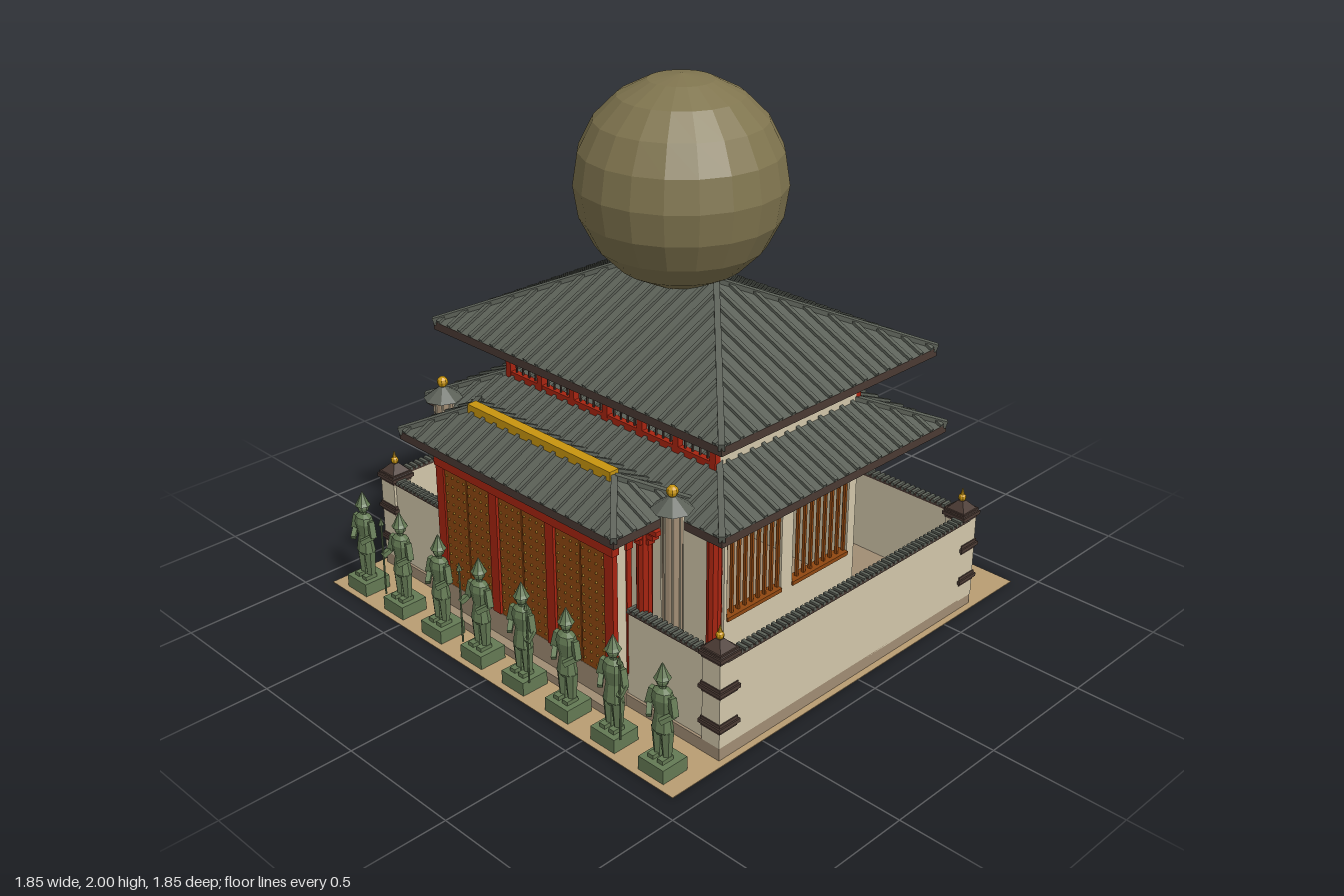
import * as THREE from 'three';
import { mergeGeometries } from 'three/addons/utils/BufferGeometryUtils.js';
import { ConvexGeometry } from 'three/addons/geometries/ConvexGeometry.js';

const mat = (name, color) => Object.assign(new THREE.MeshStandardMaterial({ color }), { name });
const M = {
  ground: mat('sand', 0xb99d72), stone: mat('stone', 0xa18d74), cream: mat('plaster', 0xd2c7aa),
  roof: mat('roof tile', 0x5c6158), dark: mat('dark wood', 0x4a3a33), red: mat('red lacquer', 0xa82410),
  door: mat('door wood', 0x8f4710), gold: mat('gold', 0xc8950f), green: mat('bronze green', 0x647a54),
  olive: mat('olive', 0x80754f),
};
const V = (x, y, z) => new THREE.Vector3(x, y, z);

// Faceted normals for low-poly round parts
function flat(g) {
  const f = g.index ? g.toNonIndexed() : g;
  f.computeVertexNormals();
  return f;
}
function add(parent, name, material, geo, x = 0, y = 0, z = 0) {
  const m = new THREE.Mesh(geo, material);
  m.name = name;
  m.position.set(x, y, z);
  parent.add(m);
  return m;
}
function group(parent, name, x = 0, y = 0, z = 0) {
  const g = new THREE.Group();
  g.name = name;
  g.position.set(x, y, z);
  parent.add(g);
  return g;
}
// Box given by its limits on each axis
function block(parent, name, material, [x0, x1], [y0, y1], [z0, z1]) {
  return add(parent, name, material, new THREE.BoxGeometry(x1 - x0, y1 - y0, z1 - z0),
    (x0 + x1) / 2, (y0 + y1) / 2, (z0 + z1) / 2);
}
const boxAt = (w, h, d, x, y, z) => new THREE.BoxGeometry(w, h, d).translate(x, y, z);
const cyl = (rt, rb, h, n) => flat(new THREE.CylinderGeometry(rt, rb, h, n));
// Square bar running from a to b
function bar(a, b, w, h) {
  const o = new THREE.Object3D();
  o.position.copy(a).lerp(b, 0.5);
  o.lookAt(b);
  o.updateMatrix();
  return new THREE.BoxGeometry(w, h, a.distanceTo(b)).applyMatrix4(o.matrix);
}

// Hipped roof: half width w, half depth d, half ridge length r
function hipRoof(parent, name, w, d, r, y0, y1, z, step) {
  const g = group(parent, name, 0, 0, z);
  const pts = [V(-r, y1, 0), V(r, y1, 0)];
  for (const sx of [-1, 1]) for (const sz of [-1, 1]) pts.push(V(sx * w, y0, sz * d));
  add(g, name + 'Slopes', M.roof, new ConvexGeometry(pts));
  block(g, name + 'Eave', M.dark, [-w, w], [y0 - 0.032, y0 - 0.001], [-d, d]);
  block(g, name + 'Soffit', M.roof, [-w + 0.02, w - 0.02], [y0 - 0.036, y0 - 0.03], [-d + 0.02, d - 0.02]);
  const ribs = [];
  const nx = Math.round(w / step), nz = Math.round(d / step);
  for (const s of [-1, 1]) {
    for (let i = -nx + 0.5; i < nx; i++) {
      const x = i * w / nx, t = Math.min(1, (w - Math.abs(x)) / (w - r));
      ribs.push(bar(V(x, y0, s * d), V(x, y0 + t * (y1 - y0), s * d * (1 - t)), 0.016, 0.022));
    }
    for (let i = -nz + 0.5; i < nz; i++) {
      const zz = i * d / nz, t = 1 - Math.abs(zz) / d;
      ribs.push(bar(V(s * w, y0, zz), V(s * (w - t * (w - r)), y0 + t * (y1 - y0), zz), 0.016, 0.022));
    }
    for (const q of [-1, 1]) ribs.push(bar(V(s * w, y0, q * d), V(s * r, y1, 0), 0.022, 0.028));
  }
  ribs.push(bar(V(-r, y1, 0), V(r, y1, 0), 0.025, 0.03));
  add(g, name + 'Ribs', M.roof, mergeGeometries(ribs));
}

function redColumn(parent, x, z, y0, y1) {
  const g = group(parent, 'redColumn', x, 0, z);
  add(g, 'shaft', M.red, cyl(0.028, 0.028, y1 - y0, 10), 0, (y0 + y1) / 2, 0);
  for (let i = 0; i < 3; i++) {
    const s = 0.07 + i * 0.035;
    add(g, 'bracket', M.red, mergeGeometries([boxAt(s, 0.018, 0.03, 0, 0, 0), boxAt(0.03, 0.018, s, 0, 0, 0)]), 0, y1 - 0.045 + i * 0.022, 0);
  }
}

// Standing guard on a plinth; some hold a staff on side s
function guard(parent, x, s, staff) {
  const g = group(parent, 'guardStatue', x, 0, 0.845);
  add(g, 'plinth', M.green, boxAt(0.115, 0.055, 0.11, 0, 0.0275, 0));
  const profile = [[0.03, 0.15], [0.042, 0.165], [0.03, 0.23], [0.043, 0.285], [0.036, 0.31], [0.014, 0.322], [0.014, 0.335]];
  add(g, 'torso', M.green, flat(new THREE.LatheGeometry(profile.map(p => new THREE.Vector2(...p)), 8))).scale.z = 0.75;
  add(g, 'head', M.green, flat(new THREE.SphereGeometry(0.022, 8, 6)), 0, 0.348, 0);
  add(g, 'helmetBrim', M.green, cyl(0.022, 0.03, 0.012, 8), 0, 0.364, 0);
  add(g, 'helmet', M.green, cyl(0.002, 0.023, 0.045, 8), 0, 0.391, 0);
  for (const q of [-1, 1]) {
    add(g, 'leg', M.green, cyl(0.024, 0.015, 0.11, 6), q * 0.02, 0.11, 0);
    add(g, 'foot', M.green, boxAt(0.026, 0.016, 0.05, q * 0.022, 0.062, 0.01));
    add(g, 'upperArm', M.green, bar(V(q * 0.042, 0.302, 0), V(q * 0.057, 0.24, 0.004), 0.022, 0.024));
    add(g, 'forearm', M.green, bar(V(q * 0.057, 0.245, 0), V(q * (staff && q === s ? 0.065 : 0.025), 0.22, 0.038), 0.018, 0.018));
  }
  if (staff) {
    add(g, 'staff', M.green, cyl(0.004, 0.004, 0.3, 6), s * 0.067, 0.205, 0.035);
    add(g, 'staffHead', M.green, cyl(0.001, 0.011, 0.03, 6), s * 0.067, 0.365, 0.035);
  }
}

function cornerPier(parent, x, z) {
  const g = group(parent, 'cornerPier', x, 0, z);
  add(g, 'pierShaft', M.cream, boxAt(0.08, 0.35, 0.08, 0, 0.215, 0));
  for (const y of [0.12, 0.255, 0.385]) {
    add(g, 'cornice', M.dark, mergeGeometries([boxAt(0.085, 0.012, 0.085, 0, y - 0.008, 0), boxAt(0.1, 0.014, 0.1, 0, y + 0.005, 0), boxAt(0.088, 0.012, 0.088, 0, y + 0.018, 0)]));
  }
  add(g, 'pierCap', M.dark, cyl(0.015, 0.066, 0.04, 4).rotateY(Math.PI / 4), 0, 0.42, 0);
  add(g, 'finial', M.gold, flat(new THREE.SphereGeometry(0.015, 8, 6)), 0, 0.452, 0);
  add(g, 'finialTip', M.gold, cyl(0.001, 0.009, 0.028, 8), 0, 0.476, 0);
}

// Plaster wall topped with a row of tiles, along x or z
function courtWall(parent, x, z, len, alongX) {
  const g = group(parent, 'courtWall', x, 0, z);
  if (!alongX) g.rotation.y = Math.PI / 2;
  add(g, 'wallFace', M.cream, boxAt(len, 0.33, 0.03, 0, 0.21, 0));
  add(g, 'wallCoping', M.dark, boxAt(len, 0.012, 0.038, 0, 0.376, 0));
  const n = Math.round(len / 0.024), tiles = [];
  for (let i = 0; i < n; i++) tiles.push(boxAt(0.013, 0.012, 0.042, (i + 0.5) * len / n - len / 2, 0.384, 0));
  add(g, 'wallTiles', M.roof, mergeGeometries(tiles));
}

// Double door with a grid of studs, facing +z
function door(parent, x, z) {
  const g = group(parent, 'door', x, 0.13, z);
  for (const s of [-1, 1]) add(g, 'doorLeaf', M.door, boxAt(0.122, 0.485, 0.012, s * 0.0635, 0.2425, 0));
  const studs = [];
  for (let i = 0; i < 8; i++) for (let j = 0; j < 13; j++) {
    studs.push(new THREE.ConeGeometry(0.006, 0.008, 5).rotateX(Math.PI / 2)
      .translate((i < 4 ? -0.111 : 0.015) + (i % 4) * 0.032, 0.025 + j * 0.036, 0.009));
  }
  add(g, 'studs', M.gold, mergeGeometries(studs));
}

export function createModel() {
  const root = new THREE.Group();
  root.name = 'templeCompound';
  block(root, 'ground', M.ground, [-0.925, 0.925], [0, 0.003], [-0.925, 0.925]);
  block(root, 'platform', M.stone, [-0.9, 0.9], [0.001, 0.05], [-0.685, 0.685]);

  // Enclosing walls and piers
  for (const s of [-1, 1]) {
    courtWall(root, s * 0.885, 0, 1.3, false);
    courtWall(root, s * 0.66, 0.66, 0.4, true);
    for (const z of [-0.65, 0.645]) cornerPier(root, s * 0.86, z);
  }
  courtWall(root, 0, -0.672, 1.72, true);

  // Ground floor: side walls with barred windows
  const hall = group(root, 'hall');
  const wall = new THREE.Shape([[-0.42, 0.05], [0.29, 0.05], [0.29, 0.6], [-0.42, 0.6]].map(p => new THREE.Vector2(...p)));
  const spans = [[-0.38, -0.07], [-0.01, 0.275]];
  for (const [a, b] of spans) wall.holes.push(new THREE.Path([[a, 0.2], [a, 0.53], [b, 0.53], [b, 0.2]].map(p => new THREE.Vector2(...p))));
  for (const s of [-1, 1]) {
    const side = add(hall, 'sideWall', M.cream, new THREE.ExtrudeGeometry(wall, { depth: 0.03, bevelEnabled: false }), s * 0.53 + 0.015);
    side.rotation.y = -Math.PI / 2;
    block(hall, 'sideBeam', M.red, [s * 0.53 - 0.022, s * 0.53 + 0.022], [0.597, 0.632], [-0.425, 0.3]);
    for (const [a, b] of spans) {
      for (const y of [0.2, 0.53]) block(hall, 'windowRail', M.door, [s * 0.53 - 0.022, s * 0.53 + 0.022], [y - 0.008, y + 0.008], [a, b]);
      for (let i = 0; i <= 8; i++) block(hall, 'windowBar', M.door, [s * 0.53 - 0.006, s * 0.53 + 0.006], [0.2, 0.53], [a + i * (b - a - 0.01) / 8, a + i * (b - a - 0.01) / 8 + 0.01]);
    }
  }
  for (const z of [-0.42, 0.28]) {
    block(hall, 'endWall', M.cream, [-0.53, 0.53], [0.05, 0.6], [z - 0.012, z + 0.012]);
    block(hall, 'endBeam', M.red, [-0.55, 0.55], [0.597, 0.632], [z - 0.018, z + 0.018]);
  }
  for (const x of [-0.53, -0.18, 0.18, 0.53]) redColumn(hall, x, 0.325, 0.05, 0.69);
  hipRoof(root, 'lowerRoof', 0.77, 0.595, 0.175, 0.722, 0.975, -0.05, 0.06);

  // Upper floor: plain sides, open railed front and back
  const upper = group(root, 'upperFloor');
  for (const s of [-1, 1]) {
    block(upper, 'upperSideWall', M.cream, [s * 0.53 - 0.01, s * 0.53 + 0.01], [0.73, 0.975], [-0.415, 0.325]);
    block(upper, 'upperSideBeam', M.red, [s * 0.53 - 0.014, s * 0.53 + 0.014], [0.972, 0.998], [-0.42, 0.33]);
  }
  for (const z of [-0.415, 0.325]) {
    block(upper, 'upperBeam', M.red, [-0.54, 0.54], [0.972, 0.998], [z - 0.014, z + 0.014]);
    block(upper, 'upperSill', M.red, [-0.54, 0.54], [0.8, 0.836], [z - 0.012, z + 0.012]);
    for (let i = 0; i <= 6; i++) {
      const x = -0.528 + i * 0.176;
      block(upper, 'upperPost', M.red, [x - 0.013, x + 0.013], [0.78, 0.98], [z - 0.013, z + 0.013]);
      for (let j = 1; i < 6 && j < 5; j++) block(upper, 'upperBar', M.dark, [x + j * 0.0352 - 0.003, x + j * 0.0352 + 0.003], [0.8, 0.975], [z - 0.003, z + 0.003]);
    }
  }
  hipRoof(root, 'upperRoof', 0.735, 0.56, 0.175, 1.028, 1.285, -0.045, 0.06);
  add(root, 'crowningSphere', M.olive, flat(new THREE.SphereGeometry(0.384, 20, 10)), 0, 1.616, -0.045);

  // Gatehouse with three double doors
  const gate = group(root, 'gatehouse');
  block(gate, 'gateSill', M.stone, [-0.46, 0.46], [0.002, 0.13], [0.66, 0.738]);
  block(gate, 'gateStep', M.stone, [-0.46, 0.46], [0.002, 0.035], [0.73, 0.775]);
  block(gate, 'gateWall', M.cream, [-0.46, 0.46], [0.13, 0.65], [0.672, 0.725]);
  for (const x of [-0.3, 0, 0.3]) {
    door(gate, x, 0.731);
    const back = group(gate, 'rearDoor');
    back.rotation.y = Math.PI;
    door(back, x, -0.666);
  }
  for (const z of [0.668, 0.733]) {
    for (const x of [-0.445, -0.15, 0.15, 0.445]) block(gate, 'gatePost', M.red, [x - 0.021, x + 0.021], [0.13, 0.64], [z - 0.011, z + 0.011]);
    block(gate, 'gateLintel', M.red, [-0.47, 0.47], [0.615, 0.652], [z - 0.015, z + 0.015]);
  }
  block(gate, 'signBoard', M.dark, [-0.43, 0.43], [0.65, 0.712], [0.7, 0.735]);
  block(gate, 'signTrim', M.gold, [-0.42, 0.42], [0.68, 0.687], [0.734, 0.738]);
  for (const s of [-1, 1]) block(gate, 'gateSideBeam', M.red, [s * 0.45 - 0.02, s * 0.45 + 0.02], [0.65, 0.712], [0.58, 0.735]);
  for (const s of [-1, 1]) redColumn(gate, s * 0.5, 0.63, 0.05, 0.7);
  hipRoof(gate, 'gateRoof', 0.56, 0.185, 0.37, 0.745, 0.835, 0.64, 0.06);
  block(gate, 'gateRidge', M.gold, [-0.37, 0.37], [0.825, 0.86], [0.62, 0.66]);

  // Fluted pillars beside the gate
  for (const s of [-1, 1]) {
    const p = group(root, 'pillar', s * 0.595, 0, 0.595);
    add(p, 'pillarShaft', M.stone, cyl(0.035, 0.035, 0.74, 12), 0, 0.42, 0);
    for (let i = 0; i < 8; i++) {
      const a = i * Math.PI / 4;
      add(p, 'flute', M.cream, boxAt(0.005, 0.74, 0.005, 0.035 * Math.sin(a), 0.42, 0.035 * Math.cos(a)));
    }
    add(p, 'pillarCap', M.roof, cyl(0.012, 0.073, 0.045, 8), 0, 0.812, 0);
    add(p, 'pillarFinial', M.gold, flat(new THREE.SphereGeometry(0.021, 8, 6)), 0, 0.853, 0);
  }

  // Row of eight guards
  for (let i = 0; i < 8; i++) guard(root, -0.8 + i * 0.2286, i < 4 ? -1 : 1, (i < 4 ? i : 7 - i) % 2 === 1);
  return root;
}
